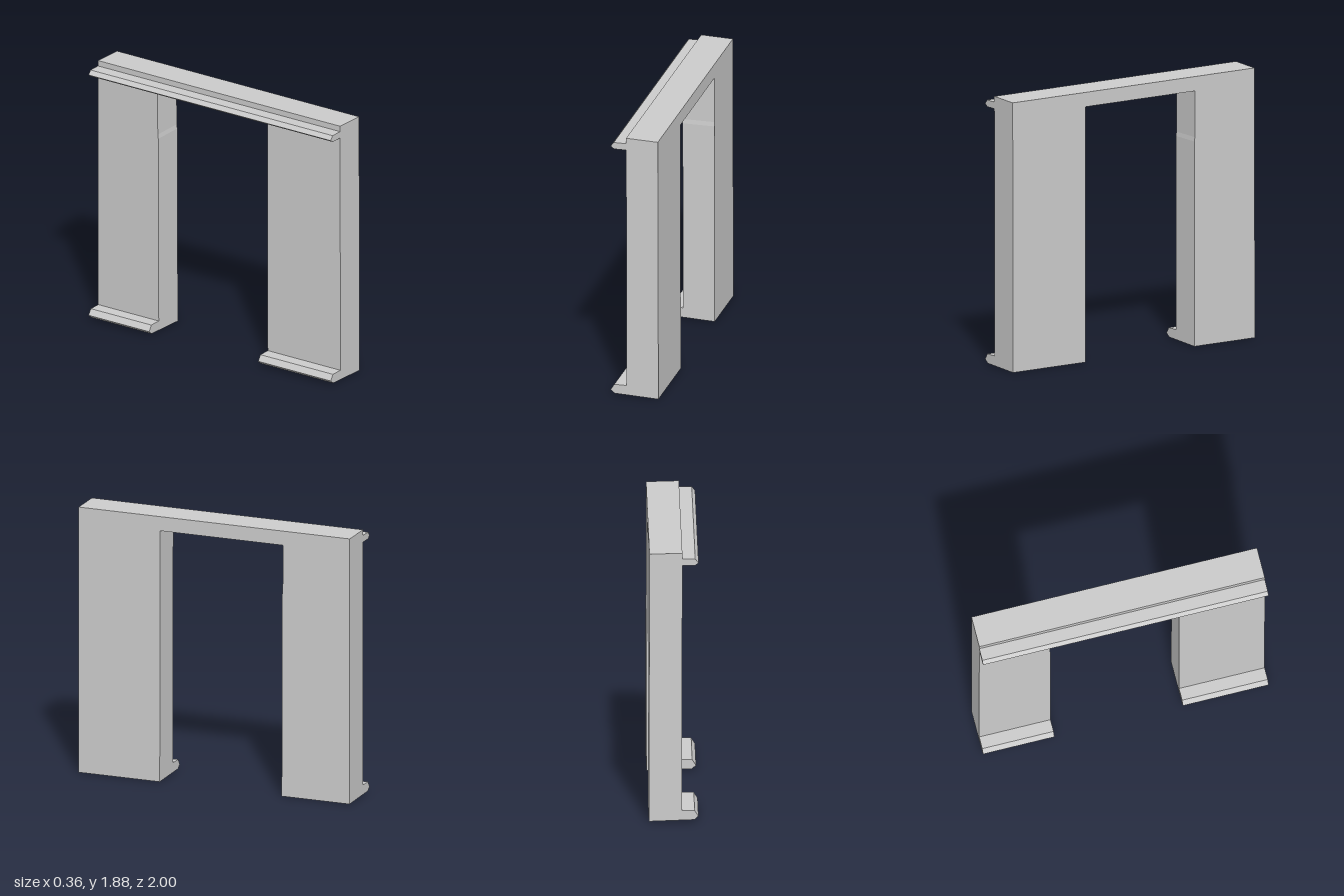
import * as THREE from 'three';

const BACK = -0.058, FACE = 0.165; // wall thickness along x

// Slightly skewed, hand-built look: drift along z, lean with height, sloped top and base
function settle(geometry) {
  const p = geometry.attributes.position;
  for (let i = 0; i < p.count; i++) {
    const x = p.getX(i), y = p.getY(i), z = p.getZ(i);
    const slope = y < 0.005 ? 0.04 : y > 1.86 ? 0.03 : 0;
    p.setXYZ(i, x + 0.0125 * z + 0.004 * (1 - y / 1.87), y + slope * (FACE - x), z);
  }
  geometry.computeVertexNormals();
  return geometry;
}

function shapeOf(points) {
  return new THREE.Shape(points.map(([a, b]) => new THREE.Vector2(a, b)));
}

export function createModel() {
  const group = new THREE.Group();
  group.name = 'doorway';
  const material = new THREE.MeshStandardMaterial({ color: 0xcccccc, flatShading: true });

  function add(name, geometry) {
    const mesh = new THREE.Mesh(settle(geometry), material);
    mesh.name = name;
    group.add(mesh);
  }

  // Wall outline in (z, y), with the door opening and a small step in the rear jamb
  const wall = new THREE.ExtrudeGeometry(shapeOf([
    [-1, 0], [-0.5, 0], [-0.502, 1.42], [-0.506, 1.45], [-0.508, 1.77],
    [0.4, 1.77], [0.4, 0], [1, 0], [1, 1.87], [-1, 1.87],
  ]), { depth: FACE - BACK, bevelEnabled: false });
  wall.rotateY(-Math.PI / 2).translate(FACE, 0, 0);
  add('wall', wall);

  // Pointed mouldings running along z on the back of the wall
  function moulding(name, profile, z0, z1) {
    const geometry = new THREE.ExtrudeGeometry(shapeOf(profile), { depth: z1 - z0, bevelEnabled: false });
    add(name, geometry.translate(0, 0, z0));
  }
  const cornice = [[BACK, 1.79], [BACK, 1.837], [-0.145, 1.837], [-0.168, 1.808], [-0.143, 1.79]];
  const skirting = [[BACK, 0], [BACK, 0.077], [-0.145, 0.077], [-0.171, 0.037], [-0.143, 0]];
  moulding('cornice', cornice, -1, 1);
  moulding('frontSkirting', skirting, 0.4, 1);
  moulding('rearSkirting', skirting, -1, -0.5);

  return group;
}
